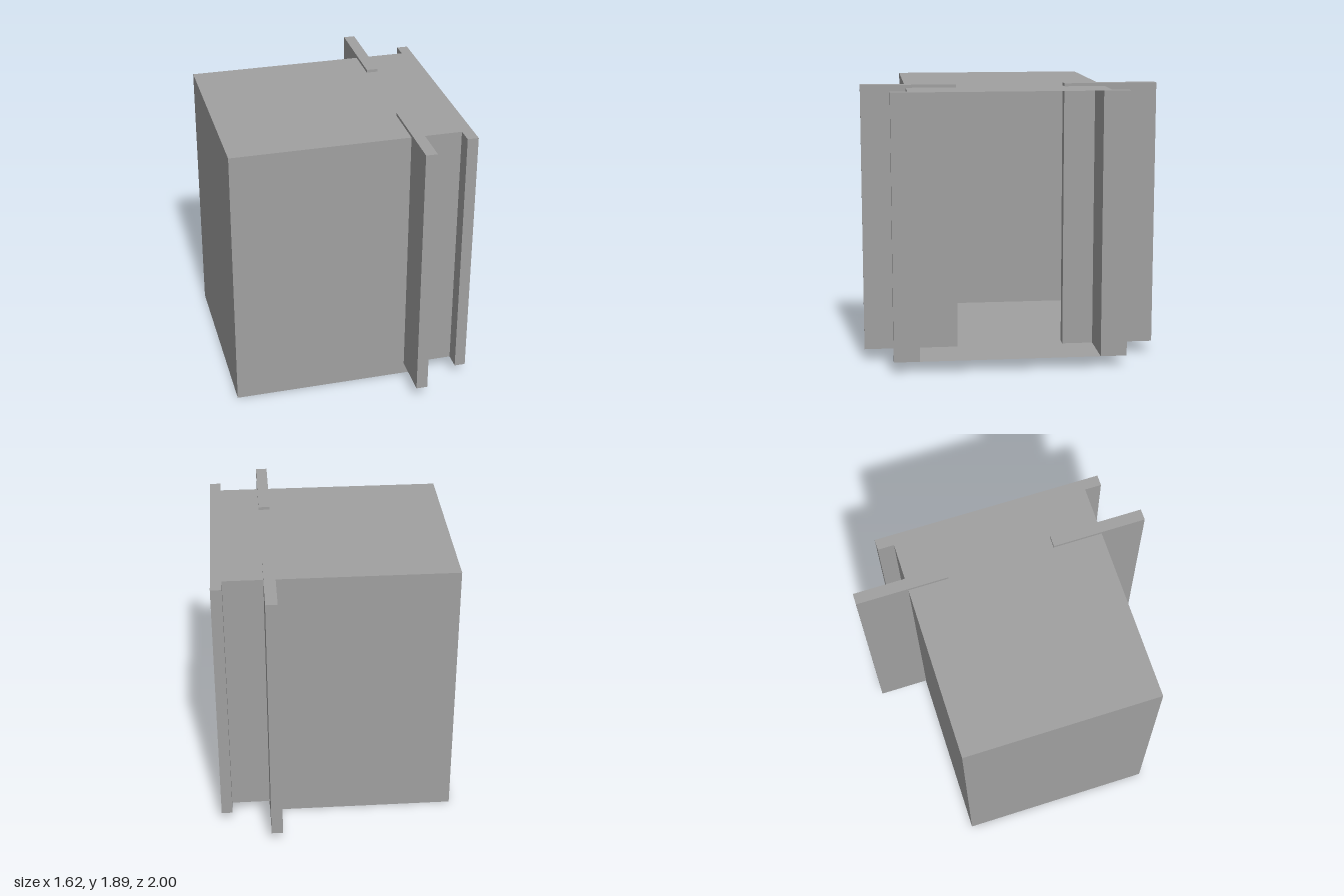
import * as THREE from 'three';

export function createModel() {
  const model = new THREE.Group();
  model.name = 'openCabinet';
  const grey = new THREE.MeshStandardMaterial({ color: 0xa0a0a0, side: THREE.DoubleSide });
  grey.name = 'plain grey';

  // Box given by its lower and upper limits on each axis
  function block(name, [x0, x1], [y0, y1], [z0, z1]) {
    const mesh = new THREE.Mesh(new THREE.BoxGeometry(x1 - x0, y1 - y0, z1 - z0), grey);
    mesh.position.set((x0 + x1) / 2, (y0 + y1) / 2, (z0 + z1) / 2);
    mesh.name = name;
    model.add(mesh);
  }

  // Horizontal sheet without thickness
  function sheet(name, [x0, x1], y, [z0, z1]) {
    const geometry = new THREE.PlaneGeometry(x1 - x0, z1 - z0).rotateX(-Math.PI / 2);
    const mesh = new THREE.Mesh(geometry, grey);
    mesh.position.set((x0 + x1) / 2, y, (z0 + z1) / 2);
    mesh.name = name;
    model.add(mesh);
  }

  const back = -0.81, step = 0.47, mouth = 0.81;
  const floorY = 0.08, roofY = 1.87;
  const inner = [-0.58, 0.637];

  // Shell, open towards +x
  block('floorSlab', [back, step], [0, floorY], [-0.645, 0.697]);
  sheet('floorLip', [step, mouth], floorY, inner);
  sheet('roof', [back, mouth], roofY, inner);
  block('endWall', [back, back + 0.06], [floorY, roofY], inner);

  // Side walls, flanges round the mouth and tall plates through the walls
  const sides = [
    { side: 'front', wall: [0.637, 0.697], flange: [0.637, 0.81], plate: [0.36, 1] },
    { side: 'rear', wall: [-0.645, -0.58], flange: [-0.757, -0.58], plate: [-1, -0.37] },
  ];
  for (const { side, wall, flange, plate } of sides) {
    block(side + 'Wall', [back, 0.735], [floorY, roofY], wall);
    block(side + 'Flange', [0.735, mouth], [floorY, roofY], flange);
    block(side + 'Plate', [0.392, step], [floorY, 1.89], plate);
  }
  return model;
}
